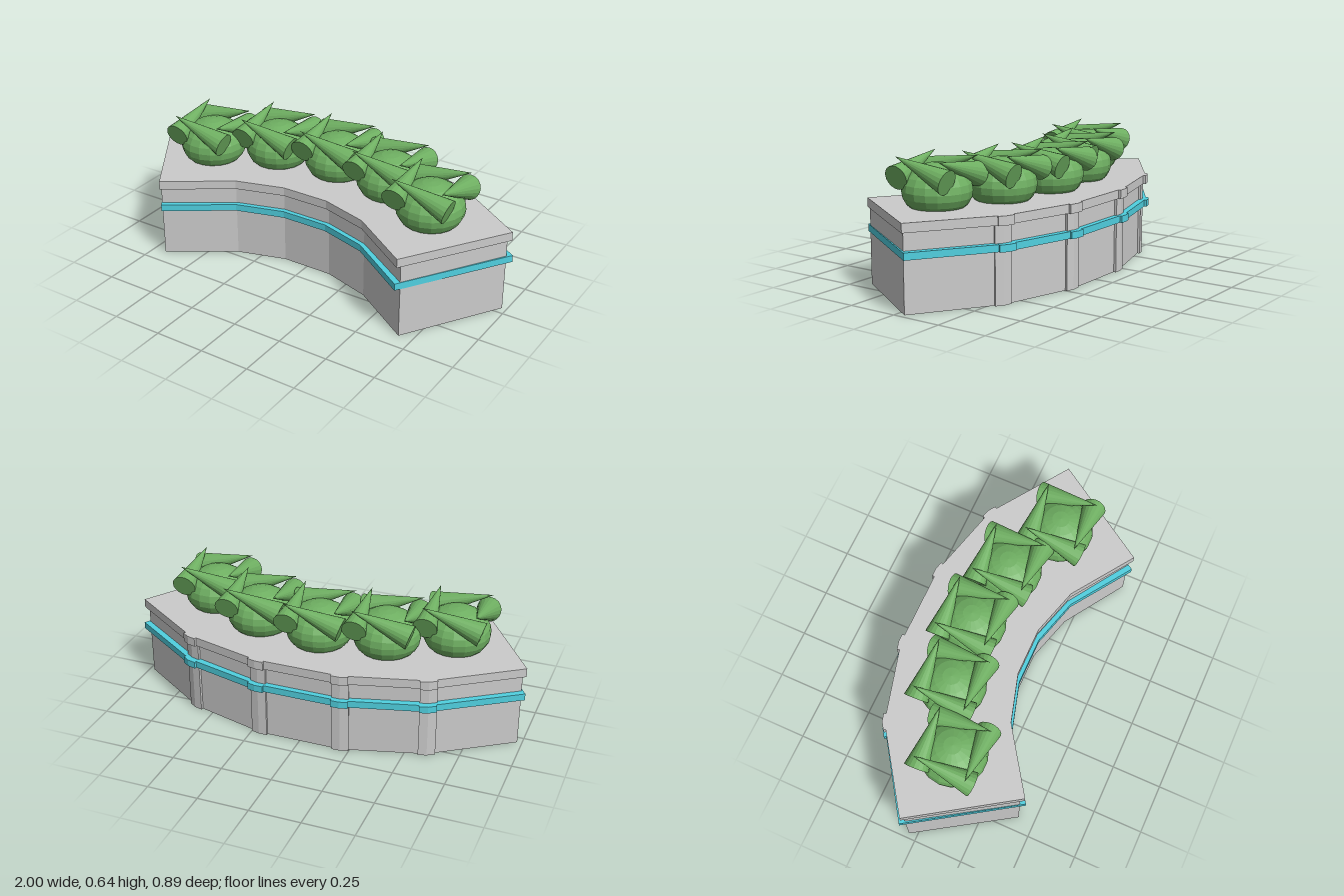
import * as THREE from 'three';

const grey = new THREE.MeshStandardMaterial({ color: 0xcccccc, flatShading: true });
const cyan = new THREE.MeshStandardMaterial({ color: 0x50d0e0, flatShading: true });
const green = new THREE.MeshStandardMaterial({ color: 0x6fb062, flatShading: true });

const RIB_HALF = 0.04, RIB_DEPTH = 0.012;

// Raised rib wrapped round the bend at b, between neighbours a and c
function ribPoints(a, b, c) {
  const d1 = b.clone().sub(a).normalize(), d2 = c.clone().sub(b).normalize();
  const n1 = new THREE.Vector2(-d1.y, d1.x).negate(), n2 = new THREE.Vector2(-d2.y, d2.x).negate();
  if (n1.y > 0) { n1.negate(); n2.negate(); }
  const start = b.clone().addScaledVector(d1, -RIB_HALF);
  const end = b.clone().addScaledVector(d2, RIB_HALF);
  const mid = b.clone().addScaledVector(n1.clone().add(n2).normalize(), RIB_DEPTH);
  return [
    start, start.clone().addScaledVector(n1, RIB_DEPTH), mid,
    end.clone().addScaledVector(n2, RIB_DEPTH), end,
  ];
}

// Curved slab: back and front list [x, z] from the end to the middle, mirrored in x
function slab(name, back, front, y0, y1, material) {
  const full = (half) => [
    ...half.map(([x, z]) => new THREE.Vector2(x, z)),
    ...half.slice().reverse().map(([x, z]) => new THREE.Vector2(-x, z)),
  ];
  const b = full(back), outline = [];
  b.forEach((p, i) => {
    if (i === 0 || i === b.length - 1) outline.push(p);
    else outline.push(...ribPoints(b[i - 1], p, b[i + 1]));
  });
  outline.push(...full(front).reverse());
  const shape = new THREE.Shape(outline.map((p) => new THREE.Vector2(p.x, -p.y)));
  const geo = new THREE.ExtrudeGeometry(shape, { depth: y1 - y0, bevelEnabled: false });
  geo.rotateX(-Math.PI / 2);
  const mesh = new THREE.Mesh(geo, material);
  mesh.name = name;
  mesh.position.y = y0;
  return mesh;
}

// Squashed ball with four leaning cones in a pinwheel
function bush(x, z) {
  const group = new THREE.Group();
  group.name = 'bush';
  const ball = new THREE.Mesh(new THREE.SphereGeometry(0.165, 18, 12), green);
  ball.name = 'foliageBall';
  ball.scale.y = 0.76;
  ball.position.y = 0.49;
  group.add(ball);
  const base = new THREE.Vector3(-0.115, 0.553, 0.15);
  const apex = new THREE.Vector3(-0.125, 0.645, -0.14);
  const axis = apex.clone().sub(base);
  for (let i = 0; i < 4; i++) {
    const turn = new THREE.Group();
    turn.name = 'leaf';
    const cone = new THREE.Mesh(new THREE.ConeGeometry(0.06, axis.length(), 18), green);
    cone.name = 'leafCone';
    cone.position.copy(base).add(apex).multiplyScalar(0.5);
    cone.quaternion.setFromUnitVectors(new THREE.Vector3(0, 1, 0), axis.clone().normalize());
    turn.add(cone);
    turn.rotation.y = i * Math.PI / 2;
    group.add(turn);
  }
  group.position.set(x, 0, z);
  return group;
}

export function createModel() {
  const model = new THREE.Group();
  model.name = 'curvedPlanter';

  // Wall, top slab and coloured band
  model.add(slab('wall',
    [[0.977, -0.042], [0.6, -0.295], [0.207, -0.403]],
    [[0.68, 0.42], [0.37, 0.218], [0.13, 0.147]], 0, 0.372, grey));
  model.add(slab('topSlab',
    [[0.996, -0.051], [0.605, -0.319], [0.21, -0.423]],
    [[0.672, 0.442], [0.363, 0.232], [0.122, 0.162]], 0.37, 0.414, grey));
  model.add(slab('band',
    [[1, -0.063], [0.607, -0.327], [0.211, -0.431]],
    [[0.666, 0.446], [0.36, 0.239], [0.12, 0.17]], 0.252, 0.286, cyan));

  // Row of bushes
  for (const [x, z] of [[-0.625, 0.055], [-0.325, -0.09], [0, -0.135], [0.325, -0.09], [0.625, 0.055]]) {
    model.add(bush(x, z));
  }
  return model;
}
